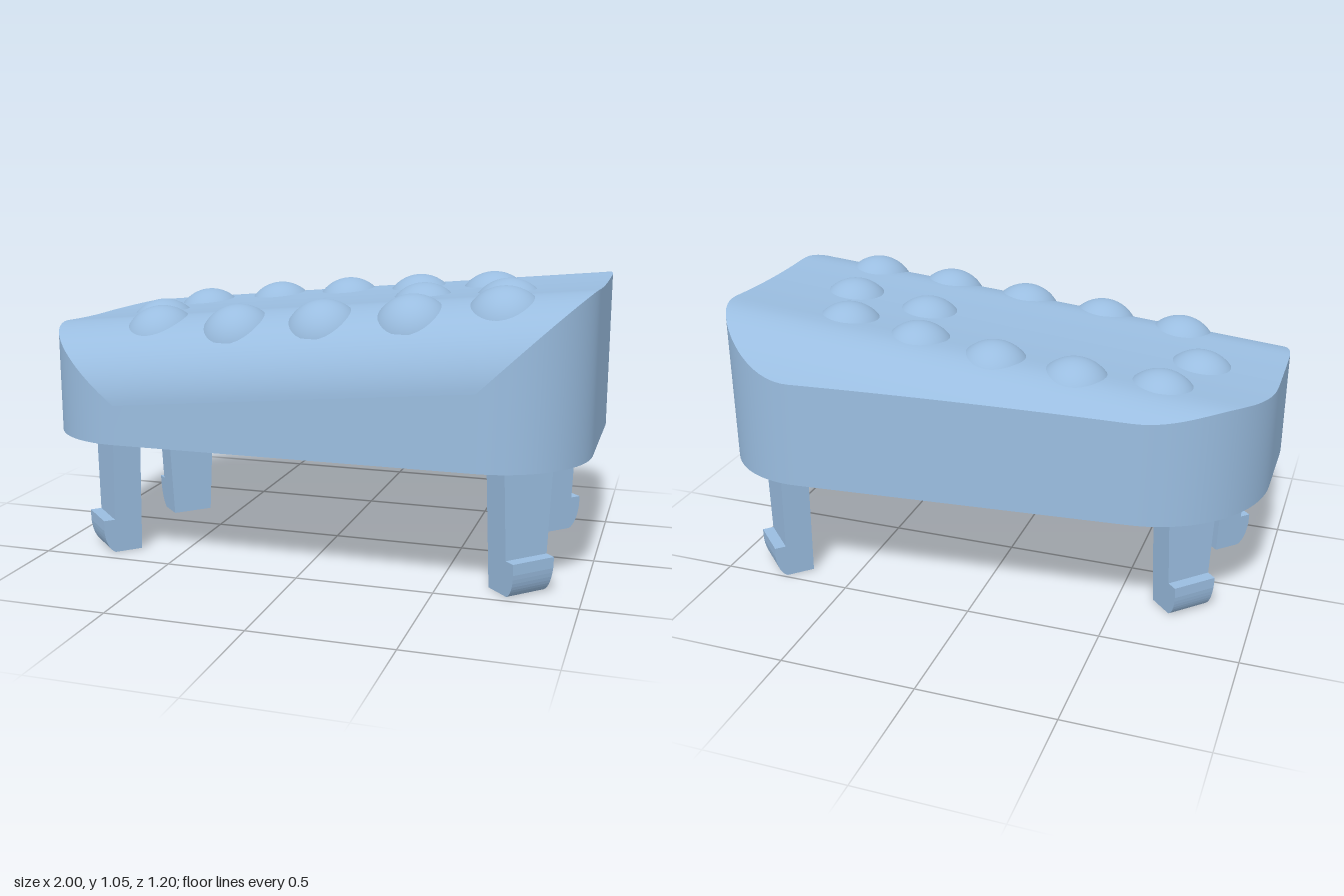
import * as THREE from 'three';

const BASE = 0.465, WALL = 0.085;

// Height of the sloping, dished top with rounded front and back edges
function topHeight(x, z) {
  let h = 0.952 - 0.01 * Math.max(0, 1 - (z / 0.3) ** 2);
  if (z > 0.25) h -= 0.283 * (1 - Math.sqrt(Math.max(0, 1 - ((z - 0.25) / 0.35) ** 2.3)));
  if (z < -0.33) h -= 0.153 * ((-z - 0.33) / 0.27) ** 2.1;
  return h + 0.093 * x;
}

// Underside of the top, a flatter copy of it
const ceilingHeight = (x, z) => topHeight(x, z * 0.92) - 0.1;

// Rounded outline: four corner arcs joined by subdivided straight sides
function outline(inset) {
  const corners = [
    [0.65, 0.25, 0.35, 0, 90],
    [-0.65, 0.25, 0.35, 90, 180],
    [-0.55, -0.05, 0.45, 180, 265.2],
    [0.65, -0.25, 0.35, 265.2, 360],
  ];
  const at = ([cx, cz, r], deg) => {
    const a = THREE.MathUtils.degToRad(deg);
    return new THREE.Vector2(cx + (r - inset) * Math.cos(a), cz + (r - inset) * Math.sin(a));
  };
  const points = [];
  corners.forEach((c, k) => {
    for (let i = 0; i <= 20; i++) points.push(at(c, c[3] + (c[4] - c[3]) * i / 20));
    const next = corners[(k + 1) % 4];
    const from = at(c, c[4]), to = at(next, next[3]);
    for (let i = 1; i < 14; i++) points.push(from.clone().lerp(to, i / 14));
  });
  return points;
}

// Skin a list of closed rings that share a point count
function loft(rings) {
  const n = rings[0].length, index = [];
  for (let i = 0; i < rings.length - 1; i++) {
    for (let j = 0; j < n; j++) {
      const a = i * n + j, b = i * n + (j + 1) % n;
      index.push(a, a + n, b, b, a + n, b + n);
    }
  }
  const geometry = new THREE.BufferGeometry().setFromPoints(rings.flat());
  geometry.setIndex(index);
  geometry.computeVertexNormals();
  return geometry;
}

// Snap leg: a tapered post with a rounded outward hook
function legGeometry() {
  const s = new THREE.Shape();
  s.moveTo(-0.105, 0);
  s.lineTo(0, 0);
  s.quadraticCurveTo(0.035, 0.02, 0.042, 0.09);
  s.lineTo(0.042, 0.13);
  s.lineTo(0, 0.13);
  s.lineTo(0, BASE);
  s.lineTo(-0.105, BASE);
  s.closePath();
  const geometry = new THREE.ExtrudeGeometry(s, { depth: 1, bevelEnabled: false, curveSegments: 8 });
  geometry.translate(0, 0, -0.5);
  const p = geometry.attributes.position;
  for (let i = 0; i < p.count; i++) p.setZ(i, p.getZ(i) * (0.16 + 0.1 * p.getY(i)));
  geometry.computeVertexNormals();
  return geometry;
}

export function createModel() {
  const group = new THREE.Group();
  const blue = new THREE.MeshStandardMaterial({ color: 0x9abde0 });
  blue.name = 'light blue';
  const add = (name, geometry) => {
    const mesh = new THREE.Mesh(geometry, blue);
    mesh.name = name;
    group.add(mesh);
    return mesh;
  };

  // Hollow body shell
  const outer = outline(0), inner = outline(WALL);
  const flatRing = points => points.map(p => new THREE.Vector3(p.x, BASE, p.y));
  const curvedRing = (points, height, s = 1) => points.map(p =>
    new THREE.Vector3(p.x * s, height(p.x * s, p.y * s), p.y * s));
  const topRings = [], ceilingRings = [];
  for (let i = 0; i <= 40; i++) {
    const s = Math.cos(i / 40 * Math.PI / 2);
    topRings.push(curvedRing(outer, topHeight, s));
    ceilingRings.unshift(curvedRing(inner, ceilingHeight, s));
  }
  add('bodyTop', loft(topRings));
  add('bodyWall', loft([flatRing(outer), curvedRing(outer, topHeight)]));
  add('bodyRim', loft([flatRing(inner), flatRing(outer)]));
  add('cavityWall', loft([curvedRing(inner, ceilingHeight), flatRing(inner)]));
  add('cavityCeiling', loft(ceilingRings));

  // Round boss inside the cavity
  add('boss', new THREE.CylinderGeometry(0.205, 0.205, 0.32, 48)).position.set(0.03, 0.715, 0.03);

  // Raised bumps: shallow sphere caps set into the top surface
  const bumps = [
    [-0.62, -0.24], [-0.33, -0.3], [-0.035, -0.3], [0.265, -0.265], [0.565, -0.215],
    [-0.705, 0.03], [0.345, 0.015], [0.665, 0.05],
    [-0.57, 0.335], [-0.25, 0.375], [0.07, 0.375], [0.39, 0.375], [0.7, 0.345],
  ];
  const bumpGeometry = new THREE.SphereGeometry(0.145, 40, 16, 0, Math.PI * 2, 0, 1.4);
  for (const [x, z] of bumps) {
    add('bump', bumpGeometry).position.set(x, topHeight(x, z) - 0.1, z);
  }

  // Four legs facing diagonally outward
  const legs = [
    ['frontLeftLeg', 0.805, 0.405],
    ['frontRightLeg', -0.805, 0.38],
    ['backLeftLeg', 0.81, -0.43],
    ['backRightLeg', -0.76, -0.217],
  ];
  const legShape = legGeometry();
  for (const [name, x, z] of legs) {
    const leg = add(name, legShape);
    leg.position.set(x, 0, z);
    leg.rotation.y = Math.atan2(-Math.sign(z), Math.sign(x));
  }
  return group;
}
